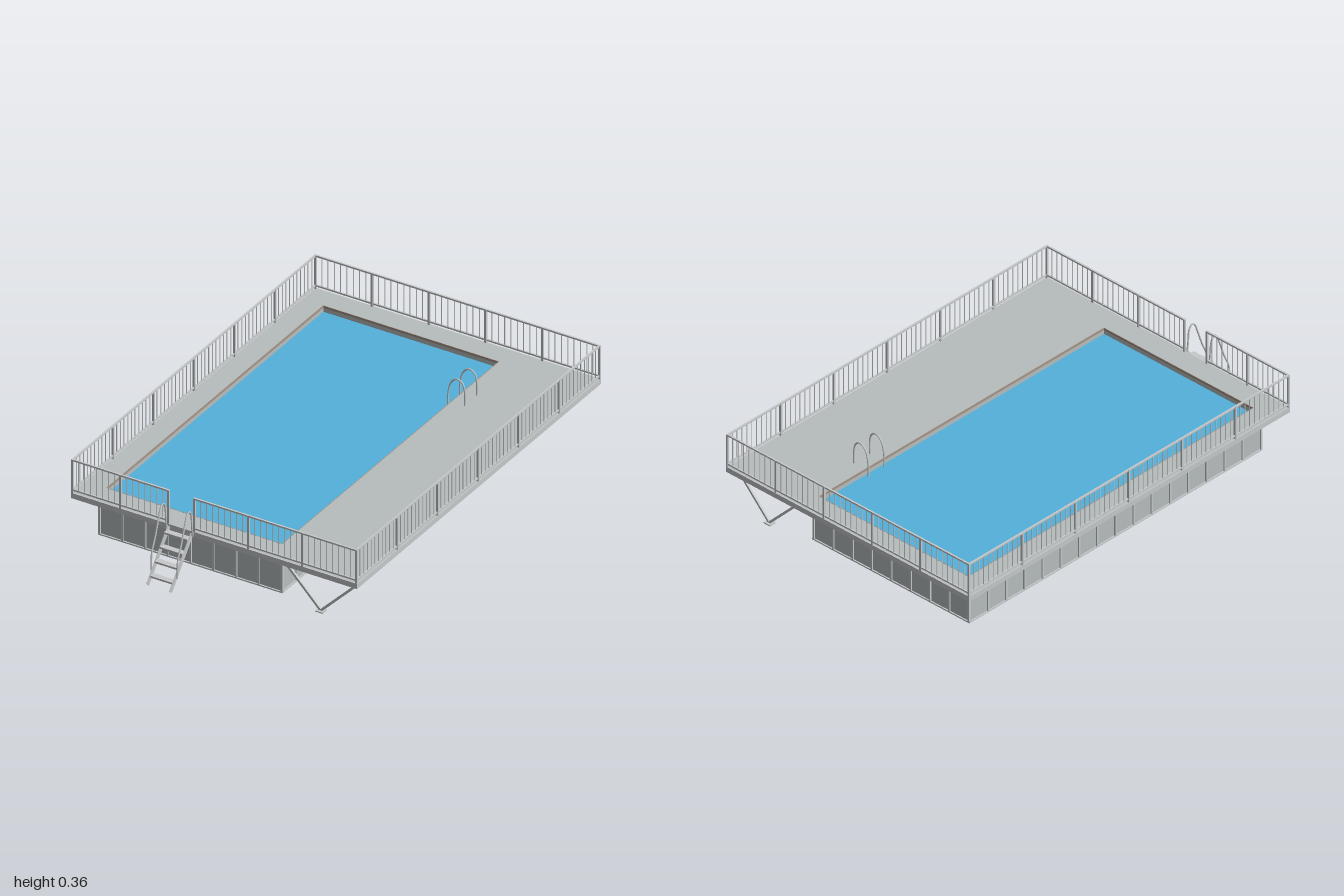
import * as THREE from 'three';

const mat = (name, color) => {
  const m = new THREE.MeshStandardMaterial({ color });
  m.name = name;
  return m;
};
const V = (x, y, z) => new THREE.Vector3(x, y, z);

export function createModel() {
  const wallGrey = mat('wall grey', 0xb7bfbe);
  const deckGrey = mat('deck grey', 0xb7bebd);
  const steel = mat('galvanised steel', 0xc6c9ca);
  const joistGrey = mat('joist grey', 0xa4a8a9);
  const copingTan = mat('coping tan', 0xa59488);
  const water = mat('water blue', 0x55b1dc);
  const liner = mat('liner blue', 0x2873b4);

  const model = new THREE.Group();
  model.name = 'raisedPool';

  const group = (name, parent = model) => {
    const g = new THREE.Group();
    g.name = name;
    parent.add(g);
    return g;
  };
  const add = (parent, name, geo, m) => {
    const mesh = new THREE.Mesh(geo, m);
    mesh.name = name;
    parent.add(mesh);
    return mesh;
  };
  // Box given by its lower and upper corner
  const box = (parent, name, m, x0, x1, y0, y1, z0, z1) => {
    const mesh = add(parent, name, new THREE.BoxGeometry(x1 - x0, y1 - y0, z1 - z0), m);
    mesh.position.set((x0 + x1) / 2, (y0 + y1) / 2, (z0 + z1) / 2);
    return mesh;
  };
  // Square bar between two points
  const bar = (parent, name, m, a, b, w, h = w) => {
    const mesh = add(parent, name, new THREE.BoxGeometry(w, h, a.distanceTo(b)), m);
    mesh.position.copy(a).add(b).multiplyScalar(0.5);
    mesh.lookAt(b);
    return mesh;
  };
  const tube = (parent, name, m, points, r) =>
    add(parent, name, new THREE.TubeGeometry(new THREE.CatmullRomCurve3(points), 32, r, 8), m);
  // Horizontal rectangular ring, extruded upwards
  const ring = (parent, name, m, outer, inner, y0, y1) => {
    const loop = ([x0, x1, z0, z1]) => [[x0, -z1], [x1, -z1], [x1, -z0], [x0, -z0]].map(p => new THREE.Vector2(...p));
    const shape = new THREE.Shape(loop(outer));
    shape.holes.push(new THREE.Path(loop(inner).reverse()));
    const geo = new THREE.ExtrudeGeometry(shape, { depth: y1 - y0, bevelEnabled: false });
    geo.rotateX(-Math.PI / 2);
    return add(parent, name, geo, m).position.setY(y0);
  };
  const grow = ([x0, x1, z0, z1], d) => [x0 - d, x1 + d, z0 - d, z1 + d];

  const DECK = [-0.66, 0.66, -1, 0.83];
  const TANK = [-0.575, 0.265, -0.91, 0.75];
  const BASIN = [-0.558, 0.249, -0.897, 0.724];

  // Basin: walls, floor and water
  const basin = group('basin');
  ring(basin, 'basinWall', wallGrey, TANK, BASIN, 0, 0.196);
  box(basin, 'basinFloor', liner, -0.57, 0.26, -0.001, 0.003, -0.905, 0.745);
  box(basin, 'waterBody', water, BASIN[0], BASIN[1], 0.004, 0.178, BASIN[2], BASIN[3]);

  // Wall ribs and sill
  const ribs = group('wallRibs');
  const e = 0.006;
  for (let i = 0; i <= 8; i++) {
    const x = -0.575 + 0.105 * i;
    box(ribs, 'frontRib', steel, x - 0.004, x + 0.004, 0, 0.185, TANK[3], TANK[3] + e);
    box(ribs, 'backRib', steel, x - 0.004, x + 0.004, 0, 0.185, TANK[2] - e, TANK[2]);
  }
  for (let i = 0; i <= 16; i++) {
    const z = TANK[2] + (1.66 / 16) * i;
    box(ribs, 'leftRib', steel, TANK[1], TANK[1] + e, 0, 0.185, z - 0.004, z + 0.004);
    box(ribs, 'rightRib', steel, TANK[0] - e, TANK[0], 0, 0.185, z - 0.004, z + 0.004);
  }
  ring(ribs, 'sill', steel, grow(TANK, e), TANK, 0, 0.006);

  // Deck with coping, fascia and joists
  const deck = group('deck');
  ring(deck, 'deckBoards', deckGrey, grow(DECK, -0.004), grow(BASIN, 0.003), 0.194, 0.205);
  ring(deck, 'coping', copingTan, grow(BASIN, 0.003), BASIN, 0.196, 0.2055);
  ring(deck, 'fascia', steel, DECK, grow(DECK, -0.004), 0.181, 0.205);
  for (let i = 0; i <= 28; i++) {
    const z = -0.975 + 0.0635 * i;
    box(deck, 'joist', joistGrey, 0.272, 0.655, i % 2 ? 0.189 : 0.184, 0.194, z - 0.008, z + 0.008);
  }

  // V-shaped supports under the wide side, short braces elsewhere
  const supports = group('supports');
  for (let i = 0; i < 8; i++) {
    const z = 0.79 - 0.2485 * i;
    const s = group('vSupport', supports);
    box(s, 'foot', steel, 0.453, 0.487, 0, 0.005, z - 0.016, z + 0.016);
    bar(s, 'innerArm', steel, V(0.47, 0.004, z), V(0.295, 0.184, z), 0.01);
    bar(s, 'outerArm', steel, V(0.47, 0.004, z), V(0.648, 0.184, z), 0.01);
    if (i > 0 && i < 7) bar(s, 'sideBrace', steel, V(-0.575, 0.155, z), V(-0.622, 0.187, z), 0.008);
  }
  for (let i = 0; i < 5; i++) {
    const x = -0.551 + 0.198 * i;
    bar(supports, 'frontBrace', steel, V(x, 0.155, 0.75), V(x, 0.187, 0.797), 0.007);
    bar(supports, 'backBrace', steel, V(x, 0.155, -0.91), V(x, 0.187, -0.957), 0.007);
  }

  // Railing run with posts, two rails and balusters
  const railing = group('railing');
  const baluster = new THREE.CylinderGeometry(0.002, 0.002, 0.138, 6);
  const run = (name, a, b, panels, perPanel) => {
    const g = group(name, railing);
    const at = (p, y) => V(p.x, y, p.z);
    bar(g, 'topRail', steel, at(a, 0.355), at(b, 0.355), 0.008, 0.007);
    bar(g, 'bottomRail', steel, at(a, 0.219), at(b, 0.219), 0.007, 0.007);
    const n = panels * perPanel;
    for (let i = 0; i <= n; i++) {
      const p = a.clone().lerp(b, i / n);
      if (i % perPanel === 0) {
        box(g, 'post', steel, p.x - 0.0045, p.x + 0.0045, 0.2, 0.358, p.z - 0.0045, p.z + 0.0045);
      } else {
        add(g, 'baluster', baluster, steel).position.set(p.x, 0.287, p.z);
      }
    }
  };
  const [L, R, B, F] = [-0.655, 0.655, -0.995, 0.825];
  run('rightSideRailing', V(L, 0, B), V(L, 0, F), 6, 11);
  run('leftSideRailing', V(R, 0, B), V(R, 0, F), 6, 11);
  run('backRailing', V(L, 0, B), V(R, 0, B), 5, 9);
  run('frontRailingRight', V(L, 0, F), V(-0.213, 0, F), 2, 8);
  run('frontRailingLeft', V(-0.092, 0, F), V(R, 0, F), 3, 9);

  // Entry stair at the front
  const stair = group('entryStair');
  for (const side of [-1, 1]) {
    const x = -0.153 + side * 0.053;
    bar(stair, 'stairStringer', steel, V(x, 0.01, 0.992), V(x, 0.197, 0.832), 0.006, 0.018);
    const h = x + side * 0.007;
    tube(stair, 'stairHandrail', steel, [
      V(h, 0.055, 0.953), V(h, 0.13, 0.95), V(h, 0.19, 0.925), V(h, 0.265, 0.898),
      V(h, 0.305, 0.882), V(h, 0.316, 0.866), V(h, 0.295, 0.85), V(h, 0.24, 0.844), V(h, 0.19, 0.838),
    ], 0.0036);
  }
  for (let i = 0; i < 4; i++) {
    const y = 0.04 + 0.048 * i, z = 0.964 - 0.036 * i;
    box(stair, 'tread', steel, -0.206, -0.1, y - 0.004, y + 0.004, z - 0.013, z + 0.013);
  }

  // Arched grab rails of the pool ladder
  const ladder = group('poolLadder');
  for (const z of [-0.635, -0.545]) {
    tube(ladder, 'grabRail', steel, [
      V(0.233, 0.06, z), V(0.233, 0.18, z), V(0.236, 0.25, z), V(0.25, 0.295, z),
      V(0.275, 0.315, z), V(0.3, 0.304, z), V(0.311, 0.27, z), V(0.311, 0.2, z),
    ], 0.0036);
  }
  return model;
}
